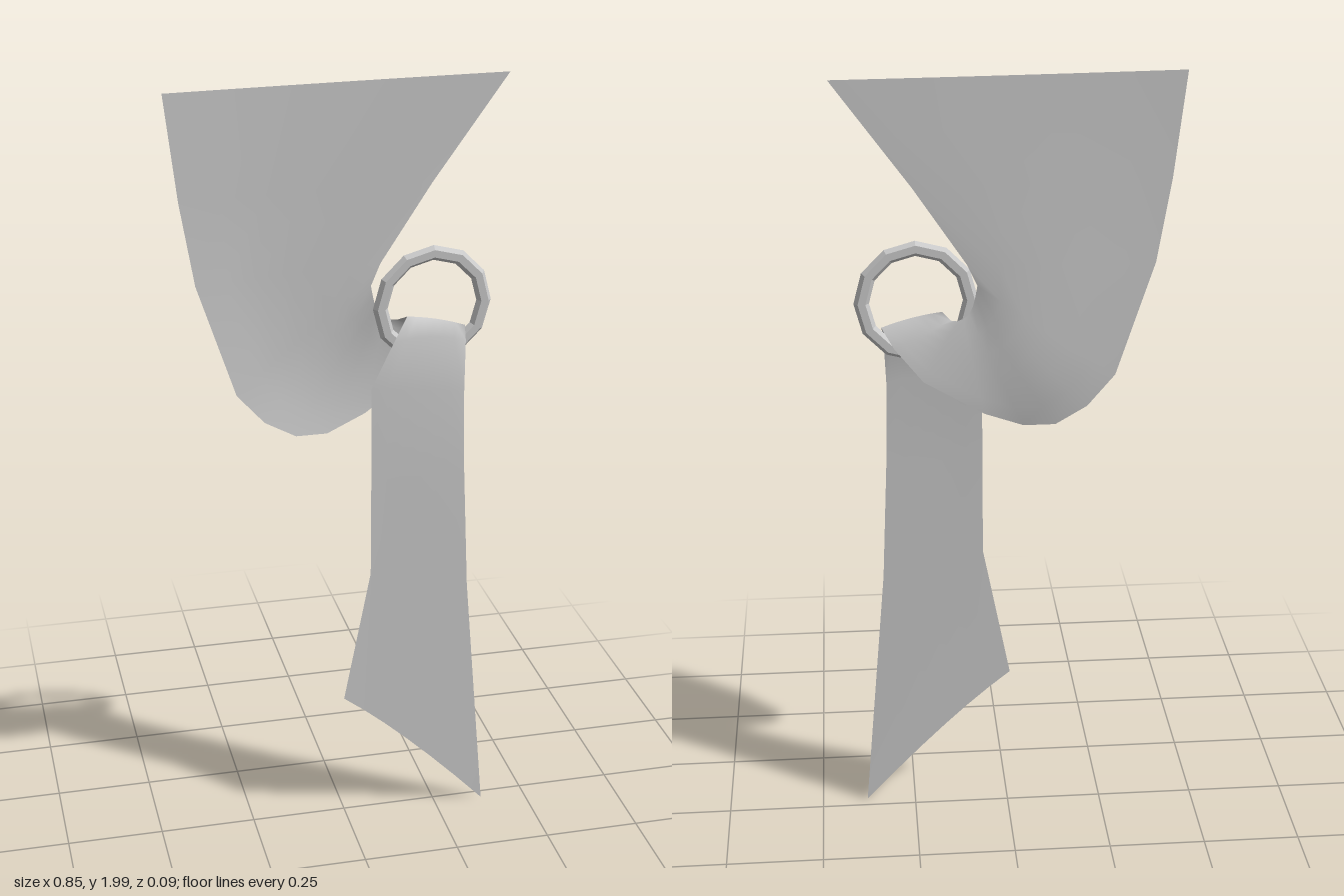
import * as THREE from 'three';

const grey = { color: 0xcccccc };

// Sash cross-sections: outer edge, inner edge, bulge of the middle
const sections = [
  // drape behind the ring
  [[-0.43, 2.0, 0], [0.42, 2.0, -0.045], [0, 0, -0.004]],
  [[-0.4, 1.74, -0.001], [0.23, 1.74, -0.041], [0, 0, -0.006]],
  [[-0.365, 1.53, -0.003], [0.1, 1.545, -0.037], [0, 0, -0.01]],
  [[-0.27, 1.24, -0.006], [0.075, 1.49, -0.032], [0, 0, -0.018]],
  [[-0.2, 1.16, -0.011], [0.08, 1.46, -0.028], [0, 0, -0.02]],
  [[-0.12, 1.115, -0.015], [0.086, 1.435, -0.026], [0, 0, -0.018]],
  [[-0.04, 1.115, -0.016], [0.095, 1.415, -0.026], [0, 0, -0.014]],
  [[0.06, 1.155, -0.03], [0.11, 1.405, -0.028], [0, 0, -0.006]],
  [[0.21, 1.25, -0.048], [0.125, 1.4, -0.03], [0, 0, 0]],
  [[0.28, 1.335, -0.038], [0.14, 1.4, -0.024], [0, 0, 0]],
  // fold over the bottom of the ring
  [[0.31, 1.38, -0.005], [0.16, 1.415, 0], [0, 0.005, 0]],
  [[0.305, 1.35, 0.024], [0.12, 1.36, 0.028], [0, 0.012, 0]],
  // hanging tail in front
  [[0.3, 1.22, 0.038], [0.06, 1.25, 0.043], [0, 0, 0.003]],
  [[0.305, 1.0, 0.04], [0.06, 1.0, 0.045], [0, 0, 0]],
  [[0.32, 0.68, 0.04], [0.06, 0.74, 0.045], [0, 0, 0]],
  [[0.38, 0.01, 0.03], [-0.01, 0.38, 0.045], [-0.02, 0.035, 0]],
];

// Skin a smooth open strip through the cross-sections
function sashGeometry(columns) {
  const positions = [];
  const index = [];
  sections.forEach(([outer, inner, bulge], row) => {
    for (let c = 0; c <= columns; c++) {
      const t = c / columns;
      for (let k = 0; k < 3; k++) {
        positions.push(outer[k] + (inner[k] - outer[k]) * t + bulge[k] * 4 * t * (1 - t));
      }
      if (row > 0 && c > 0) {
        const d = row * (columns + 1) + c;
        const b = d - columns - 1;
        index.push(b - 1, d - 1, b, b, d - 1, d);
      }
    }
  });
  const geometry = new THREE.BufferGeometry();
  geometry.setAttribute('position', new THREE.Float32BufferAttribute(positions, 3));
  geometry.setIndex(index);
  geometry.computeVertexNormals();
  return geometry;
}

export function createModel() {
  const group = new THREE.Group();
  group.name = 'sashWithRing';

  // Cloth threaded through the ring
  const sash = new THREE.Mesh(
    sashGeometry(6),
    new THREE.MeshStandardMaterial({ ...grey, side: THREE.DoubleSide })
  );
  sash.name = 'sash';
  group.add(sash);

  // Faceted ring, slightly tilted
  const ring = new THREE.Mesh(
    new THREE.TorusGeometry(0.134, 0.019, 6, 12),
    new THREE.MeshStandardMaterial({ ...grey, flatShading: true })
  );
  ring.name = 'ring';
  ring.scale.z = 0.7;
  ring.rotation.set(0.03, 0.05, 0);
  ring.position.set(0.223, 1.443, 0.001);
  group.add(ring);

  return group;
}
